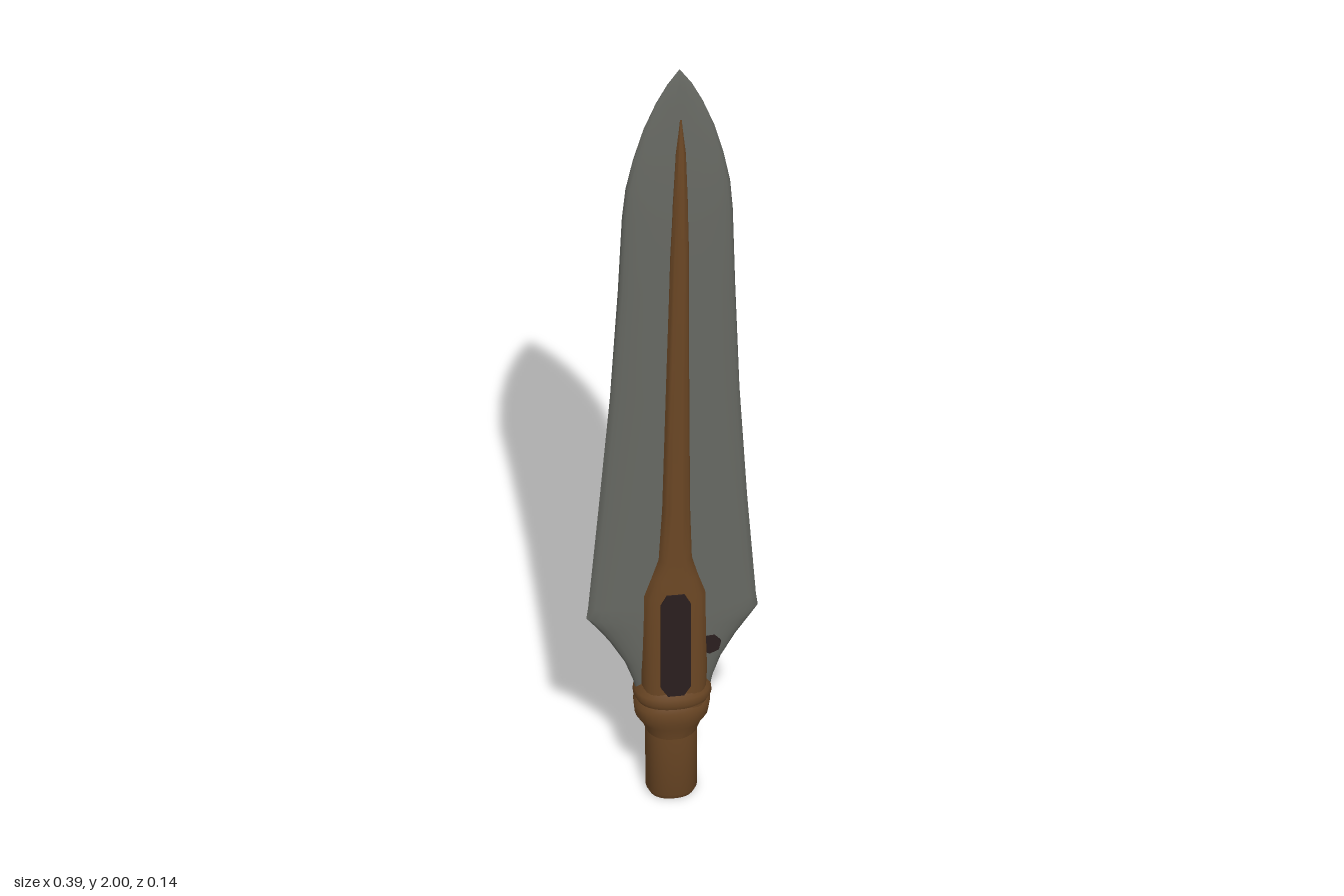
import * as THREE from 'three';
import { toCreasedNormals } from 'three/addons/utils/BufferGeometryUtils.js';

const material = (name, color) => {
  const m = new THREE.MeshStandardMaterial({ color });
  m.name = name;
  return m;
};

// Skins superelliptic cross-sections; each row is [y, centreX, halfWidth, halfDepth].
function loft(rows, power, sides = 32) {
  const bend = (v) => Math.sign(v) * Math.pow(Math.abs(v), 2 / power);
  const first = rows[0], last = rows[rows.length - 1];
  const all = [[first[0], first[1], 0, 0], ...rows, [last[0], last[1], 0, 0]];
  const pos = [], index = [];
  all.forEach(([y, cx, w, d], r) => {
    for (let i = 0; i < sides; i++) {
      const a = (i / sides) * Math.PI * 2;
      pos.push(cx + w * bend(Math.cos(a)), y, d * bend(Math.sin(a)));
      if (r === all.length - 1) continue;
      const p = r * sides + i, q = r * sides + (i + 1) % sides;
      index.push(p, p + sides, q, q, p + sides, q + sides);
    }
  });
  const g = new THREE.BufferGeometry();
  g.setAttribute('position', new THREE.Float32BufferAttribute(pos, 3));
  g.setIndex(index);
  return toCreasedNormals(g, 0.7);
}

export function createModel() {
  const group = new THREE.Group();
  const steel = material('grey steel', 0x666862);
  const bronze = material('brown bronze', 0x6a4624);
  const dark = material('dark inlay', 0x2a1e1e);
  const add = (name, geometry, mat, x = 0, y = 0, z = 0) => {
    const mesh = new THREE.Mesh(geometry, mat);
    mesh.name = name;
    mesh.position.set(x, y, z);
    group.add(mesh);
    return mesh;
  };

  // Leaf-shaped blade with flared shoulders
  add('blade', loft([
    [0.26, 0, 0.08, 0.028], [0.31, 0, 0.09, 0.029], [0.36, 0, 0.108, 0.03],
    [0.42, 0, 0.142, 0.03], [0.46, 0, 0.17, 0.03], [0.49, -0.002, 0.193, 0.03],
    [0.52, -0.002, 0.189, 0.03], [0.8, 0, 0.167, 0.03], [1.1, 0.004, 0.146, 0.03],
    [1.4, 0.008, 0.132, 0.03], [1.6, 0.01, 0.125, 0.028], [1.68, 0.011, 0.118, 0.025],
    [1.76, 0.012, 0.102, 0.021], [1.84, 0.013, 0.08, 0.016], [1.91, 0.014, 0.053, 0.01],
    [1.96, 0.015, 0.028, 0.006], [2, 0.015, 0.001, 0.001],
  ], 2.2), steel);

  // Raised midrib widening into the socket
  add('midrib', loft([
    [0.25, 0, 0.072, 0.062], [0.35, 0, 0.075, 0.061], [0.56, 0, 0.072, 0.057],
    [0.61, 0, 0.055, 0.055], [0.66, 0.001, 0.04, 0.053], [0.8, 0.003, 0.034, 0.051],
    [1.2, 0.007, 0.028, 0.047], [1.5, 0.011, 0.024, 0.043], [1.65, 0.013, 0.019, 0.039],
    [1.78, 0.015, 0.013, 0.029], [1.87, 0.016, 0.003, 0.015],
  ], 3), bronze);

  // Swollen collar and shaft below it
  add('collar', loft([
    [0.17, -0.004, 0.056, 0.052], [0.2, -0.004, 0.068, 0.058], [0.22, -0.004, 0.082, 0.066],
    [0.25, -0.003, 0.086, 0.068], [0.262, -0.002, 0.081, 0.064], [0.275, -0.002, 0.088, 0.07],
    [0.29, -0.002, 0.086, 0.068], [0.31, 0, 0.074, 0.06],
  ], 2.3), bronze);
  add('shaft', loft([
    [0.001, -0.004, 0.05, 0.045], [0.014, -0.004, 0.057, 0.051], [0.19, -0.004, 0.058, 0.052],
  ], 2.3), bronze);
  const end = add('shaftEnd', new THREE.CylinderGeometry(0.045, 0.045, 0.004, 24), dark, -0.004, 0.002);
  end.scale.z = 0.9;

  // Chamfered dark panels on both faces of the socket
  const outline = [[-0.018, 0.3], [0.018, 0.3], [0.034, 0.325], [0.034, 0.55],
    [0.02, 0.577], [-0.02, 0.577], [-0.034, 0.55], [-0.034, 0.325]];
  const panel = new THREE.ExtrudeGeometry(
    new THREE.Shape(outline.map(([x, y]) => new THREE.Vector2(x, y))),
    { depth: 0.008, bevelEnabled: false });
  panel.translate(0, -0.44, -0.004);
  for (const side of [1, -1]) {
    const inlay = add(side > 0 ? 'frontInlay' : 'backInlay', panel, dark, -0.002, 0.44, side * 0.0575);
    inlay.rotation.x = -side * 0.018;

    // Small worn patch beside the socket
    const patch = add(side > 0 ? 'frontPatch' : 'backPatch',
      new THREE.CylinderGeometry(0.026, 0.026, 0.008, 7), dark, 0.079, 0.41, side * 0.025);
    patch.rotation.x = Math.PI / 2;
  }
  return group;
}
